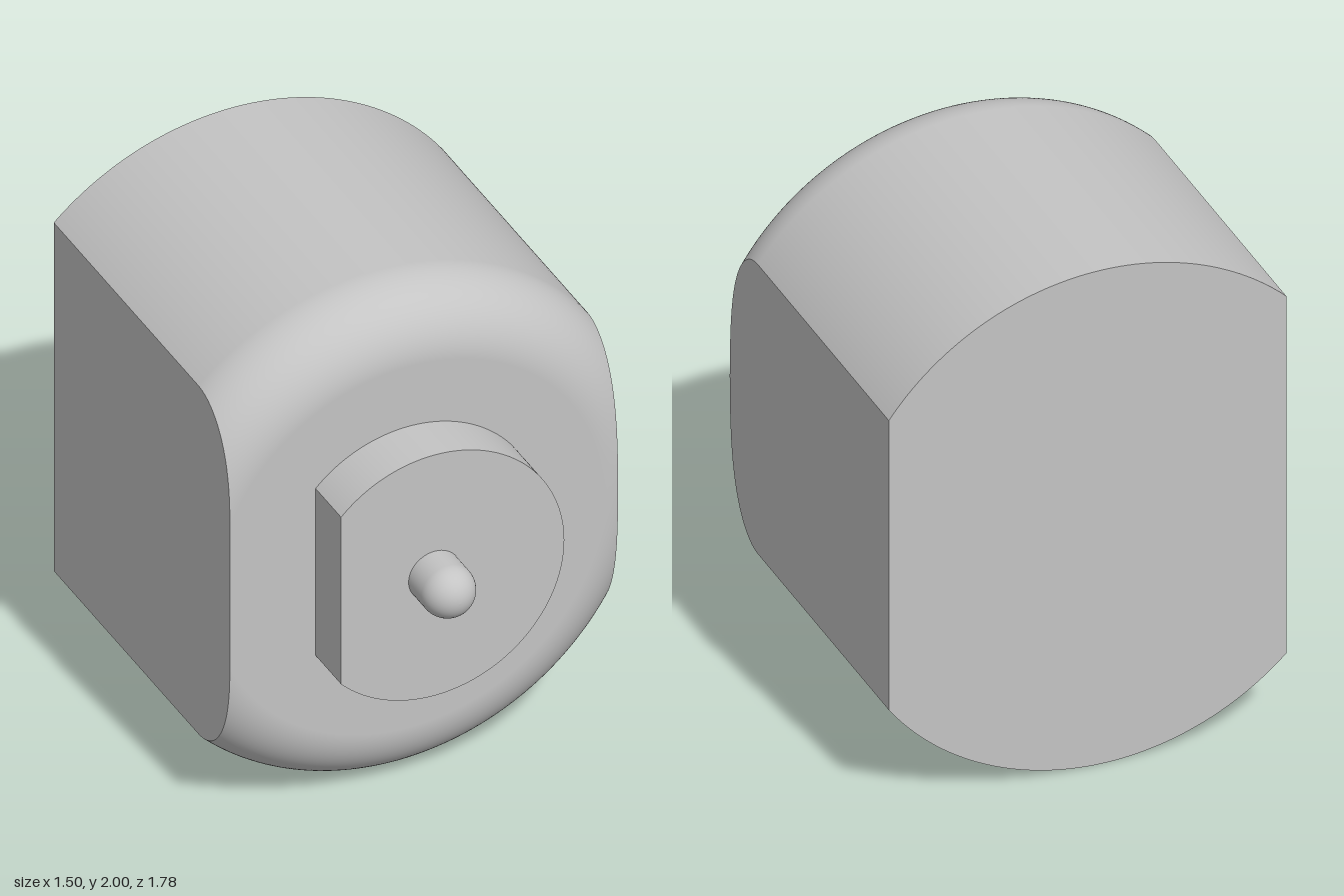
import * as THREE from 'three';
import { toCreasedNormals } from 'three/addons/utils/BufferGeometryUtils.js';

const RIGHT = 0.81, LEFT = 0.69;   // distances of the two flats from the shaft axis
const FRONT = 0.49, BACK = -0.89, FILLET = 0.25, CORE = 0.75;
const SEG = 64;

// Body profile from the front rim, round the fillet, to the back: radius, z, normal angle
function bodyProfile() {
  const phis = [Math.acos((RIGHT - CORE) / FILLET)];
  for (let i = 0; i <= 24; i++) phis.push((i / 24) * Math.PI / 2);
  phis.sort((a, b) => b - a);
  const rows = phis.map((p) => ({
    r: CORE + FILLET * Math.cos(p), z: FRONT - FILLET + FILLET * Math.sin(p), phi: p,
  }));
  rows.push({ r: CORE + FILLET, z: BACK, phi: 0 });
  return rows;
}

// Angles of the upper arc left between the two flats
function arcAngles(r) {
  const a = Math.acos(Math.min(1, RIGHT / r));
  const b = Math.acos(-LEFT / r);
  return Array.from({ length: SEG + 1 }, (_, j) => a + (b - a) * j / SEG);
}

// Curved wall, upper (s = 1) or lower (s = -1)
function wallGeometry(rows, s) {
  const pos = [], nor = [], idx = [];
  rows.forEach(({ r, z, phi }, i) => {
    arcAngles(r).forEach((t, j) => {
      const c = Math.cos(t), n = s * Math.sin(t);
      pos.push(r * c, r * n, z);
      nor.push(c * Math.cos(phi), n * Math.cos(phi), Math.sin(phi));
      if (i === rows.length - 1 || j === SEG) return;
      const a = i * (SEG + 1) + j, b = a + SEG + 1;
      if (s > 0) idx.push(a, b, a + 1, a + 1, b, b + 1);
      else idx.push(a, a + 1, b, a + 1, b + 1, b);
    });
  });
  const g = new THREE.BufferGeometry();
  g.setAttribute('position', new THREE.Float32BufferAttribute(pos, 3));
  g.setAttribute('normal', new THREE.Float32BufferAttribute(nor, 3));
  g.setIndex(idx);
  return g;
}

// Flat end of the body at radius r
function endGeometry(r) {
  const top = arcAngles(r).map((t) => new THREE.Vector2(r * Math.cos(t), r * Math.sin(t)));
  const bottom = top.map((p) => new THREE.Vector2(p.x, -p.y)).reverse();
  if (r <= RIGHT) bottom.pop(); // arcs meet in one point here
  return new THREE.ShapeGeometry(new THREE.Shape([...top, ...bottom]));
}

// Flat side of the body, dir = 1 for +x and -1 for -x
function flatGeometry(rows, dir) {
  const d = dir > 0 ? RIGHT : LEFT;
  const top = rows.filter(({ r }) => r > d + 1e-6)
    .map(({ r, z }) => new THREE.Vector2(-dir * z, Math.sqrt(r * r - d * d)));
  if (dir > 0) {
    const tip = rows.find(({ r }) => Math.abs(r - d) < 1e-6);
    top.unshift(new THREE.Vector2(-tip.z, 0));
  }
  const bottom = top.map((p) => new THREE.Vector2(p.x, -p.y)).reverse();
  if (dir > 0) bottom.pop();
  return new THREE.ShapeGeometry(new THREE.Shape([...top, ...bottom]))
    .rotateY(dir * Math.PI / 2).translate(dir * d, 0, 0);
}

export function createModel() {
  const model = new THREE.Group();
  model.name = 'motor';
  model.position.set(-0.06, 1, 0);
  const grey = new THREE.MeshStandardMaterial({ color: 0xc4c4c4 });
  grey.name = 'grey';
  const add = (parent, name, geometry) => {
    const mesh = new THREE.Mesh(geometry, grey);
    mesh.name = name;
    parent.add(mesh);
  };

  // Round housing with a filleted front and two flats
  const housing = new THREE.Group();
  housing.name = 'housing';
  model.add(housing);
  const rows = bodyProfile();
  add(housing, 'upperWall', wallGeometry(rows, 1));
  add(housing, 'lowerWall', wallGeometry(rows, -1));
  add(housing, 'leftFlat', flatGeometry(rows, 1));
  add(housing, 'rightFlat', flatGeometry(rows, -1));
  add(housing, 'frontFace', endGeometry(CORE).translate(0, 0, FRONT));
  add(housing, 'backFace', endGeometry(CORE + FILLET).rotateY(Math.PI)
    .scale(-1, 1, 1).translate(0, 0, BACK));
  // the mirrored back face needs its corner order reversed
  const back = housing.getObjectByName('backFace').geometry;
  back.setIndex(Array.from(back.index.array).reverse());
  back.computeVertexNormals();

  // Boss with one flat
  const a = Math.acos(-0.36 / 0.5);
  const bossShape = new THREE.Shape().absarc(0, 0, 0.5, -a, a, false);
  const boss = new THREE.ExtrudeGeometry(bossShape, { depth: 0.2, bevelEnabled: false, curveSegments: 80 });
  add(model, 'boss', toCreasedNormals(boss, 0.4).translate(0, 0, FRONT));

  // Round-ended shaft
  const profile = [new THREE.Vector2(0.1, 0.68)];
  for (let i = 0; i <= 16; i++) {
    const t = (i / 16) * Math.PI / 2;
    profile.push(new THREE.Vector2(0.1 * Math.cos(t), 0.79 + 0.1 * Math.sin(t)));
  }
  add(model, 'shaft', new THREE.LatheGeometry(profile, 48).rotateX(Math.PI / 2));

  const root = new THREE.Group();
  root.name = 'model';
  root.add(model);
  return root;
}
